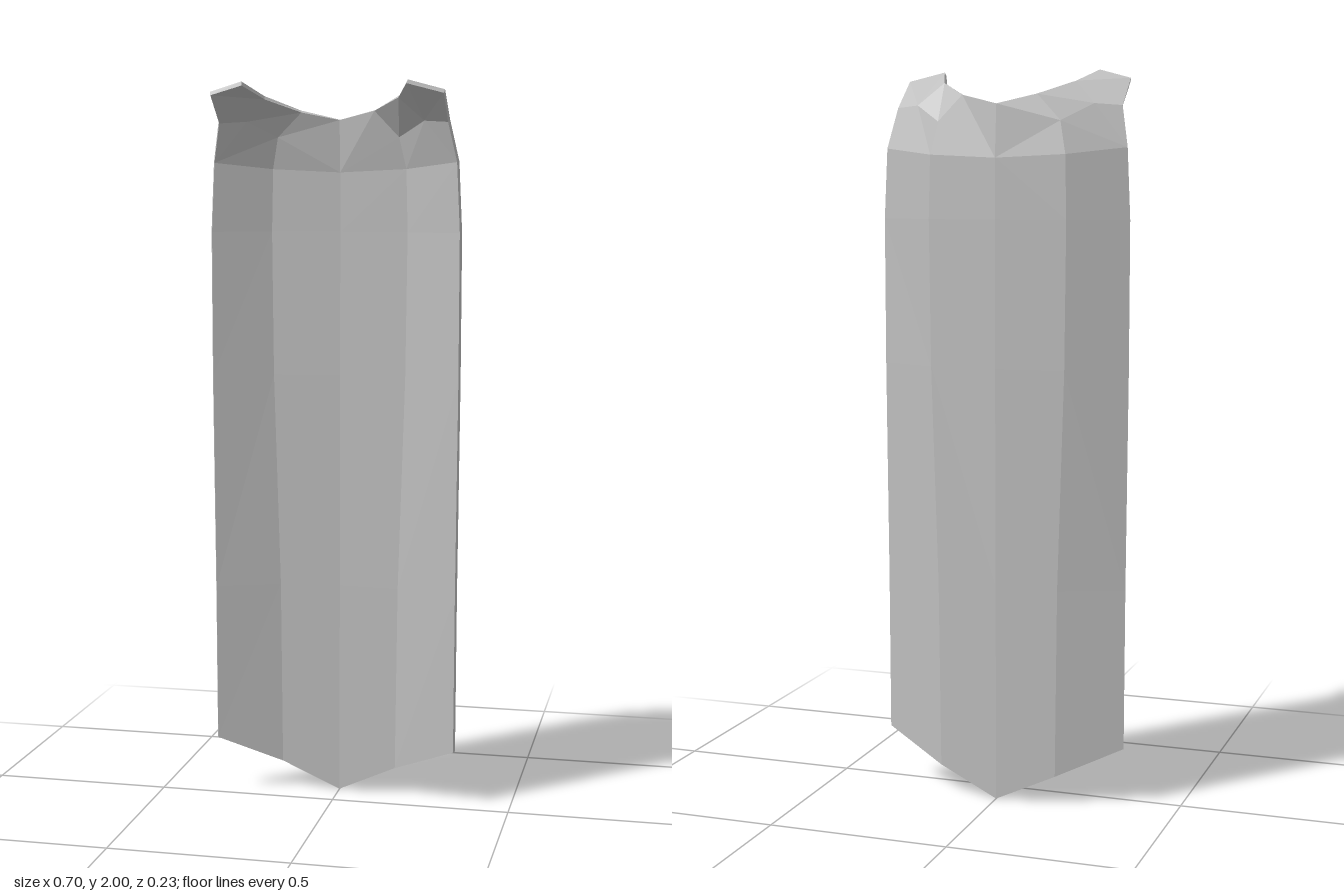
import * as THREE from 'three';

const THICKNESS = 0.012;

// Back panel rows, bottom to top: [centre, crease, side edge], each x, y, z
const ROWS = [
  [[0, 0, -0.108], [0.167, 0.077, -0.096], [0.345, 0.155, -0.032]],
  [[0, 0.6, -0.11], [0.172, 0.6, -0.097], [0.346, 0.6, -0.032]],
  [[0, 1.2, -0.112], [0.19, 1.2, -0.098], [0.35, 1.2, -0.032]],
  [[0, 1.6, -0.113], [0.194, 1.6, -0.099], [0.35, 1.6, -0.032]],
  [[0, 1.763, -0.112], [0.19, 1.772, -0.097], [0.341, 1.79, -0.031]],
];

// Neckline and shoulder flap points
const COLLAR = [
  [0, 1.905, -0.101],     // neck centre
  [0.105, 1.93, -0.076],  // neck side
  [0.187, 1.966, 0.008],  // flap root, inner
  [0.224, 2.0, 0.107],    // flap tip, inner
  [0.318, 1.975, 0.082],  // flap tip, outer
  [0.319, 1.9, -0.004],   // flap root, outer
  [0.172, 1.86, -0.083],  // shoulder blade
  [0.25, 1.905, -0.032],  // shoulder top
];

// Faces of one half, counter-clockwise from the front
function halfFaces() {
  const faces = [];
  for (let r = 0; r < ROWS.length - 1; r++) {
    for (let c = 0; c < 2; c++) {
      faces.push([ROWS[r][c], ROWS[r][c + 1], ROWS[r + 1][c + 1], ROWS[r + 1][c]]);
    }
  }
  const [centre, crease, edge] = ROWS[ROWS.length - 1];
  const [neck, neckSide, rootIn, tipIn, tipOut, rootOut, blade, top] = COLLAR;
  faces.push(
    [centre, crease, blade], [centre, blade, neckSide, neck],
    [crease, edge, top, blade], [edge, rootOut, top],
    [blade, top, rootIn, neckSide],
    [top, rootOut, tipOut], [top, tipOut, tipIn, rootIn],
  );
  return faces;
}

// Thicken the mirrored sheet into a closed shell
function shellGeometry() {
  const points = [], lookup = new Map();
  const pointIndex = (p, side) => {
    const key = [p[0] * side + 0, p[1], p[2]].join();
    if (!lookup.has(key)) {
      lookup.set(key, points.length);
      points.push(new THREE.Vector3(p[0] * side, p[1], p[2]));
    }
    return lookup.get(key);
  };
  const triangles = [];
  for (const side of [1, -1]) {
    for (const face of halfFaces()) {
      const ids = face.map((p) => pointIndex(p, side));
      if (side < 0) ids.reverse();
      for (let i = 1; i < ids.length - 1; i++) triangles.push([ids[0], ids[i], ids[i + 1]]);
    }
  }

  // Inner points sit along the averaged normals
  const normals = points.map(() => new THREE.Vector3());
  for (const [a, b, c] of triangles) {
    const n = points[b].clone().sub(points[a]).cross(points[c].clone().sub(points[a]));
    for (const i of [a, b, c]) normals[i].add(n);
  }
  const inner = points.map((p, i) => p.clone().addScaledVector(normals[i].normalize(), THICKNESS));

  const index = [], count = points.length, edges = new Set();
  for (const [a, b, c] of triangles) {
    index.push(a + count, b + count, c + count, c, b, a);
    for (const [u, v] of [[a, b], [b, c], [c, a]]) edges.add(u + ',' + v);
  }
  // Rim along every open edge
  for (const edge of edges) {
    const [u, v] = edge.split(',').map(Number);
    if (edges.has(v + ',' + u)) continue;
    index.push(v + count, u + count, u, v + count, u, v);
  }

  const geometry = new THREE.BufferGeometry().setFromPoints([...points, ...inner]);
  geometry.setIndex(index);
  const flat = geometry.toNonIndexed();
  flat.computeVertexNormals();
  return flat;
}

export function createModel() {
  const group = new THREE.Group();
  group.name = 'cape';
  const cloth = new THREE.MeshStandardMaterial({ color: 0xc0c0c0 });
  cloth.name = 'grey cloth';
  const cape = new THREE.Mesh(shellGeometry(), cloth);
  cape.name = 'capeCloth';
  group.add(cape);
  return group;
}
